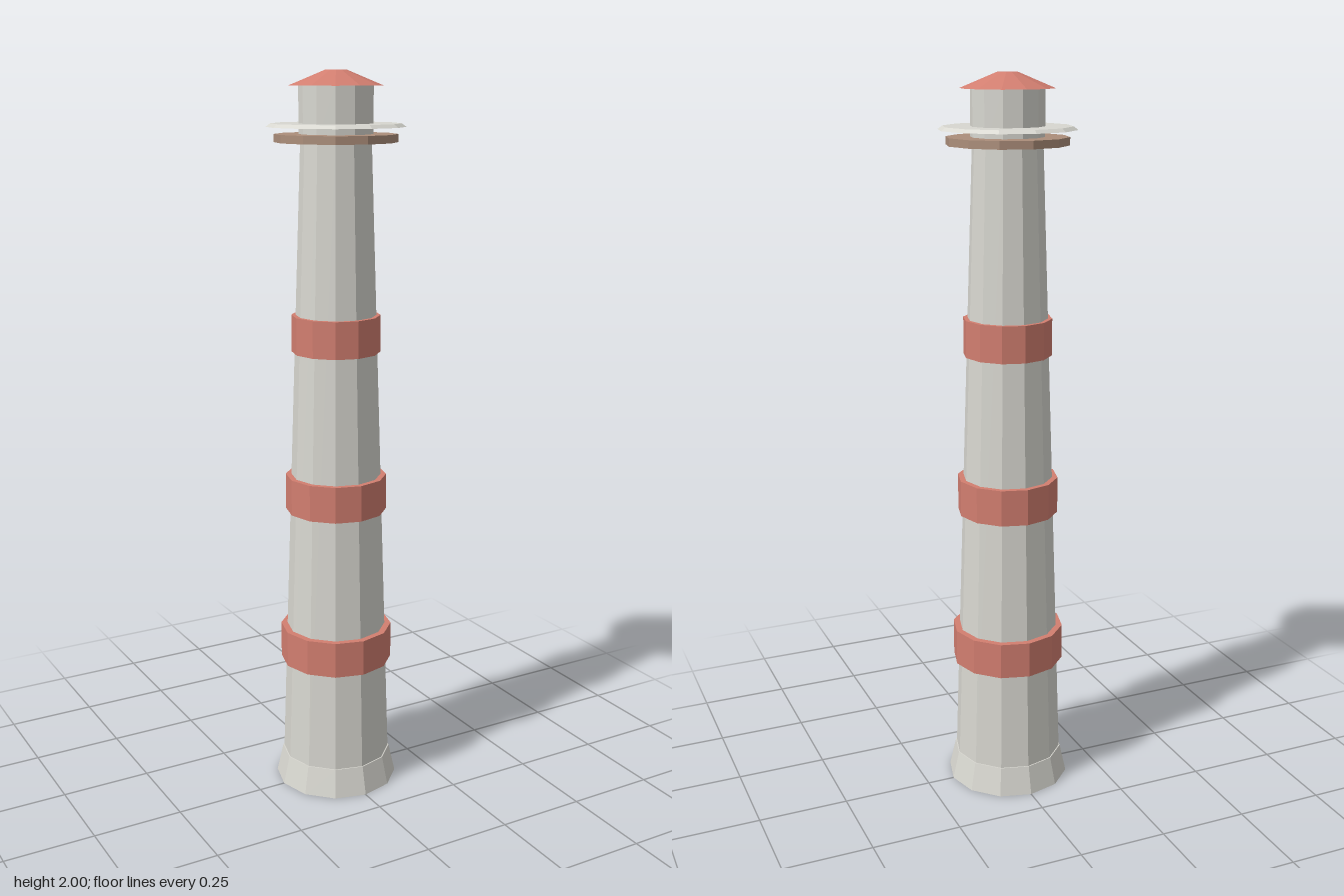
import * as THREE from 'three';

export function createModel() {
  const model = new THREE.Group();
  model.name = 'lighthouse';

  const material = (name, color) => {
    const m = new THREE.MeshStandardMaterial({ color, flatShading: true });
    m.name = name;
    return m;
  };
  const stone = material('pale stone', 0xd8d7d0);
  const red = material('faded red', 0xd27e70);
  const wood = material('brown deck', 0xac8e7a);

  // Twelve-sided drum between two heights
  const drum = (name, mat, bottom, top, rBottom, rTop = rBottom) => {
    const mesh = new THREE.Mesh(new THREE.CylinderGeometry(rTop, rBottom, top - bottom, 12), mat);
    mesh.name = name;
    mesh.position.y = (bottom + top) / 2;
    model.add(mesh);
  };

  // Foot and tapered shaft
  drum('base', stone, 0, 0.08, 0.173, 0.155);
  drum('tower', stone, 0.08, 1.82, 0.152, 0.094);

  // Painted collars, narrowing with the shaft
  [[0.366, 0.157], [0.812, 0.14], [1.26, 0.121]].forEach(([y, r], i) =>
    drum(`band${i + 1}`, red, y, y + 0.101, r));

  // Gallery with a thin bevelled plate above it
  drum('galleryDeck', wood, 1.817, 1.838, 0.163);
  drum('galleryPlate', stone, 1.856, 1.865, 0.184, 0.172);

  // Lantern room and its cap
  drum('lantern', stone, 1.82, 1.96, 0.098);
  drum('roof', red, 1.96, 2, 0.125, 0.028);

  return model;
}
